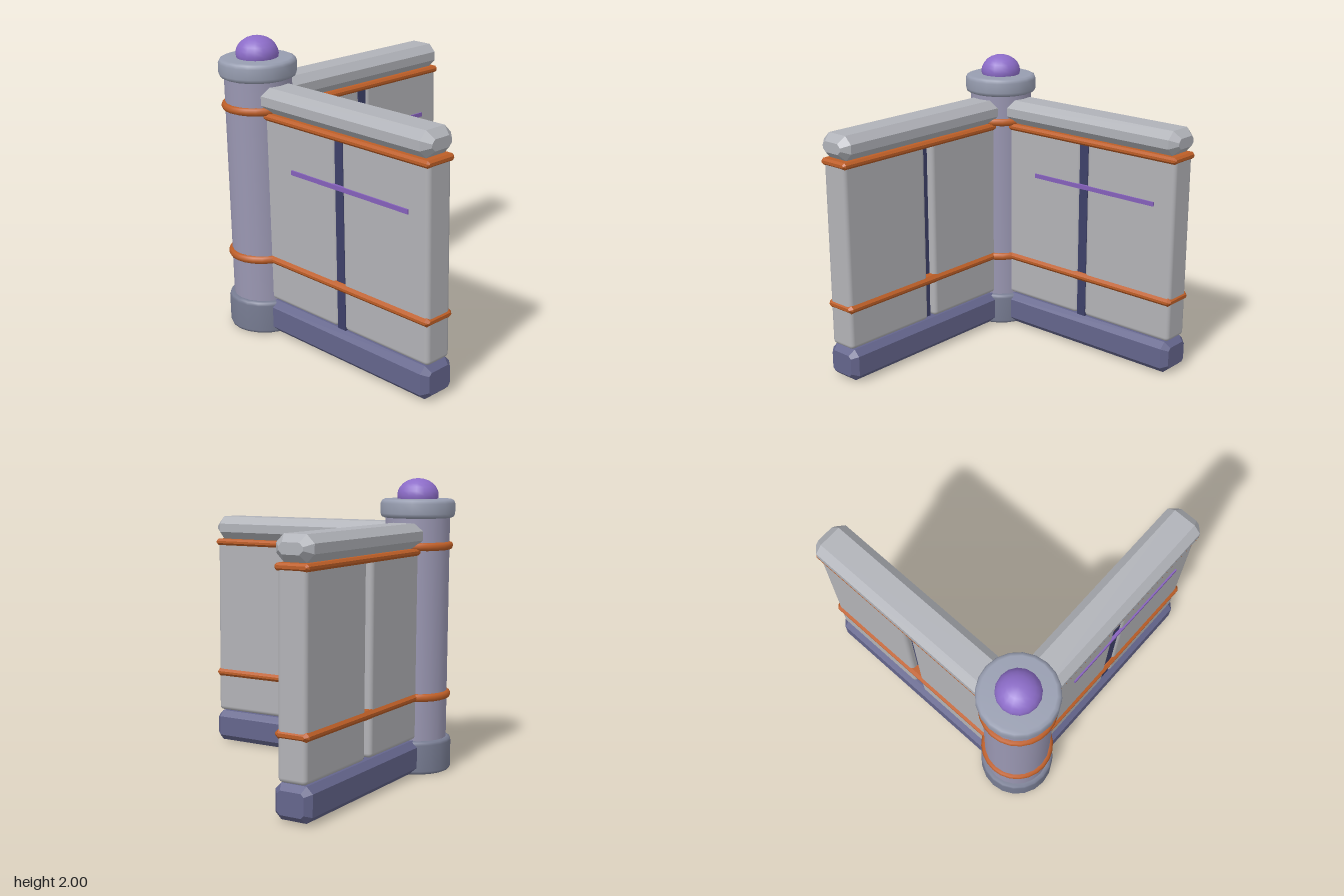
import * as THREE from 'three';
import { RoundedBoxGeometry } from 'three/addons/geometries/RoundedBoxGeometry.js';

const mat = (color) => new THREE.MeshStandardMaterial({ color });
const M = {
  wall: mat(0xb2b2b6), rail: mat(0xb0b2b8), post: mat(0x9a97b2), cap: mat(0x979db0),
  foot: mat(0x777c92), base: mat(0x64658c), seam: mat(0x3d4069),
  band: mat(0xbd5e27), trim: mat(0x8560bb), dome: mat(0x8c6cc8),
};

function add(parent, name, geometry, material, x = 0, y = 0, z = 0) {
  const mesh = new THREE.Mesh(geometry, material);
  mesh.name = name;
  mesh.position.set(x, y, z);
  parent.add(mesh);
  return mesh;
}

// Bar along x from x0 to x1 with an eight-sided section and chamfered ends
function chamferBar(x0, x1, y0, y1, halfDepth, c, bevel = c) {
  const d = halfDepth, h = (y1 - y0) / 2;
  const pts = [[d, -h + c], [d, h - c], [d - c, h], [-d + c, h],
    [-d, h - c], [-d, -h + c], [-d + c, -h], [d - c, -h]];
  const shape = new THREE.Shape(pts.map(([x, y]) => new THREE.Vector2(x, y)));
  const g = new THREE.ExtrudeGeometry(shape, {
    depth: x1 - x0 - 2 * bevel, bevelEnabled: true, bevelSegments: 1,
    bevelThickness: bevel, bevelSize: bevel * 0.9, bevelOffset: -bevel * 0.9,
  });
  g.rotateY(Math.PI / 2);
  g.translate(x0 + bevel, (y0 + y1) / 2, 0);
  return g;
}

// Drum with softened rims
function drum(r, y0, y1, b) {
  const m = b * 0.3;
  const pts = [[0, y0], [r - b, y0], [r - m, y0 + m], [r, y0 + b],
    [r, y1 - b], [r - m, y1 - m], [r - b, y1], [0, y1]];
  return new THREE.LatheGeometry(pts.map(([x, y]) => new THREE.Vector2(x, y)), 20);
}

// One wall running along +x from the post axis, trim line on +z
function createWall(name) {
  const wall = new THREE.Group();
  wall.name = name;
  add(wall, 'baseRail', chamferBar(0, 1.61, 0.01, 0.235, 0.13, 0.042), M.base);
  add(wall, 'topRail', chamferBar(0, 1.61, 1.54, 1.705, 0.13, 0.052), M.rail);

  for (const [x0, x1] of [[0.04, 0.815], [0.88, 1.6]]) {
    add(wall, 'panel', new RoundedBoxGeometry(x1 - x0, 1.29, 0.2, 3, 0.03), M.wall,
      (x0 + x1) / 2, 0.885, 0);
  }
  // Dark strip recessed between the panels, deeper on the rear
  add(wall, 'seam', new THREE.BoxGeometry(0.07, 1.33, 0.14), M.seam, 0.8475, 0.865, 0.02);

  add(wall, 'lowerBand', chamferBar(0, 1.61, 0.5, 0.56, 0.118, 0.022), M.band);
  add(wall, 'upperBand', chamferBar(0, 1.61, 1.492, 1.538, 0.118, 0.015), M.band);
  add(wall, 'trimLine', new THREE.BoxGeometry(1.02, 0.03, 0.02), M.trim, 0.935, 1.195, 0.1);
  return wall;
}

function createPost() {
  const post = new THREE.Group();
  post.name = 'cornerPost';
  add(post, 'postFoot', drum(0.253, 0, 0.23, 0.025), M.foot);
  add(post, 'postShaft', new THREE.CylinderGeometry(0.22, 0.22, 1.6, 20), M.post, 0, 1, 0);
  add(post, 'postCap', drum(0.254, 1.735, 1.862, 0.03), M.cap);
  for (const y of [0.528, 1.548]) {
    const ring = new THREE.TorusGeometry(0.217, 0.028, 8, 24);
    ring.rotateX(Math.PI / 2);
    add(post, 'postBand', ring, M.band, 0, y, 0);
  }
  const dome = add(post, 'dome', new THREE.SphereGeometry(0.14, 16, 12), M.dome, 0, 1.885, 0);
  dome.scale.y = 0.82;
  return post;
}

export function createModel() {
  const model = new THREE.Group();
  model.name = 'cornerWall';
  const corner = new THREE.Group();
  corner.name = 'corner';
  corner.position.set(-0.68, 0, 0.68);
  const sideWall = createWall('sideWall');
  sideWall.rotation.y = Math.PI / 2;
  corner.add(createPost(), createWall('frontWall'), sideWall);
  model.add(corner);
  return model;
}
